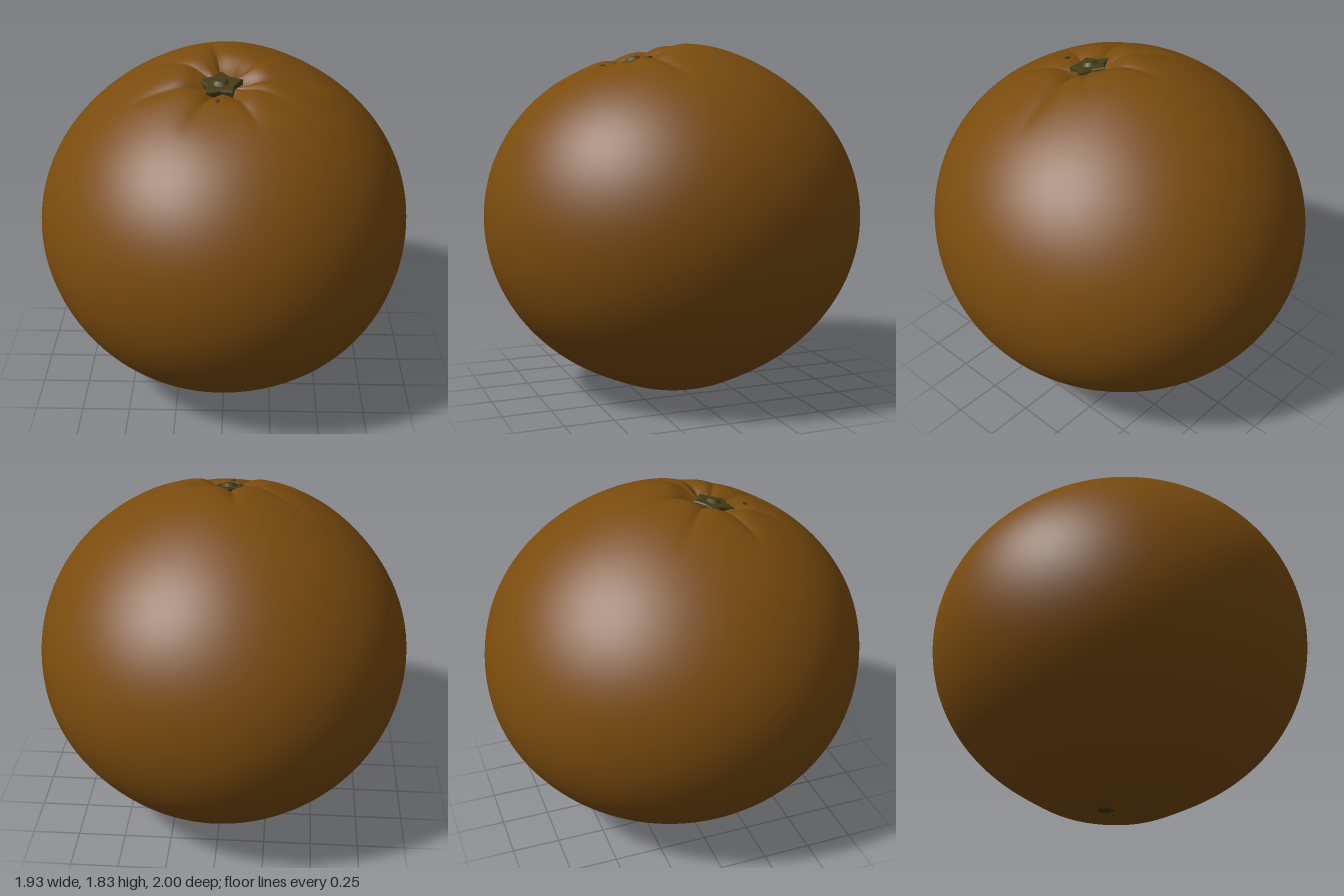
import * as THREE from 'three';
import { mergeVertices } from 'three/addons/utils/BufferGeometryUtils.js';

const peelMat = new THREE.MeshStandardMaterial({ color: 0x7a4b0e });
peelMat.name = 'orangePeel';
const calyxMat = new THREE.MeshStandardMaterial({ color: 0x453b17 });
calyxMat.name = 'driedGreen';

const TILT = 0.21; // the stem pole leans towards the front
const CENTER_Y = 0.905;
const RADII = new THREE.Vector3(0.965, 0.9, 1.0);

// creases radiating from the stem: [dx, dz, depth]
const creases = [
  [-0.49, -0.33, 0.022], [-0.08, -0.45, 0.045], [0.3, -0.25, 0.018], [0.6, -0.06, 0.045],
  [-0.5, 0.13, 0.042], [-0.2, 0.4, 0.03], [0.2, 0.4, 0.03], [0.42, 0.2, 0.022],
].map(([x, z, depth]) => ({ angle: Math.atan2(z, x), length: Math.hypot(x, z), depth }));

const bell = (d, w) => Math.exp(-((d / w) ** 2));

// radial factor for a direction at polar angle t and azimuth a around the stem
function creaseDepth(t, a) {
  let deepest = 0;
  for (const c of creases) {
    const along = Math.cos(a - c.angle);
    if (along < 0) continue;
    const across = Math.abs(Math.sin(t) * Math.sin(a - c.angle));
    const fade = 1 - THREE.MathUtils.smoothstep(t, c.length * 0.25, c.length * 1.1);
    deepest = Math.max(deepest, c.depth * fade * Math.exp(-across / 0.035));
  }
  return deepest;
}

function makePeel() {
  const geo = new THREE.SphereGeometry(1, 168, 128);
  geo.deleteAttribute('uv');
  geo.deleteAttribute('normal');
  const pos = geo.attributes.position;
  const v = new THREE.Vector3();
  const xAxis = new THREE.Vector3(1, 0, 0);
  for (let i = 0; i < pos.count; i++) {
    v.fromBufferAttribute(pos, i).normalize();
    const t = Math.acos(THREE.MathUtils.clamp(v.y, -1, 1));
    const a = Math.atan2(v.z, v.x);
    let r = 1 - creaseDepth(t, a) - 0.055 * Math.exp(-((t / 0.17) ** 4));
    v.applyAxisAngle(xAxis, TILT);
    if (v.y > 0) {
      // raised shoulders behind the stem, flatter skin before it
      r += 0.028 * bell(Math.hypot(v.x - 0.05, v.z + 0.12), 0.35);
      r -= 0.018 * bell(Math.hypot(v.x, v.z - 0.4), 0.18);
    } else {
      // flat base with a small navel
      const d = Math.hypot(v.x + 0.04, v.z + 0.06);
      r += 0.022 * bell(d - 0.25, 0.15) - 0.03 * bell(d, 0.07);
    }
    // slight natural unevenness
    r += 0.005 * Math.sin(3 * v.x + 2 * v.z + 1) * Math.sin(4 * v.y + 2 * v.x);
    v.multiplyScalar(r).multiply(RADII);
    pos.setXYZ(i, v.x, v.y + CENTER_Y, v.z);
  }
  const merged = mergeVertices(geo, 1e-5);
  merged.computeVertexNormals();
  return new THREE.Mesh(merged, peelMat);
}

// irregular star, extruded upwards
function makeStar(radii, inner, height) {
  const pts = [];
  radii.forEach((r, i) => {
    const a = ((i + 0.25) / radii.length) * Math.PI * 2;
    const b = a + Math.PI / radii.length;
    pts.push(new THREE.Vector2(Math.cos(a) * r, Math.sin(a) * r));
    pts.push(new THREE.Vector2(Math.cos(b) * inner, Math.sin(b) * inner));
  });
  const geo = new THREE.ExtrudeGeometry(new THREE.Shape(pts), {
    depth: height, bevelEnabled: true, bevelSize: 0.01, bevelThickness: 0.008, bevelSegments: 2,
  });
  geo.rotateX(-Math.PI / 2);
  return new THREE.Mesh(geo, calyxMat);
}

export function createModel() {
  const group = new THREE.Group();
  group.name = 'orange';

  const peel = makePeel();
  peel.name = 'peel';
  group.add(peel);

  // calyx and stem stub
  const calyx = new THREE.Group();
  calyx.name = 'calyx';
  const star = makeStar([0.1, 0.095, 0.105, 0.1, 0.09], 0.065, 0.02);
  star.name = 'calyxStar';
  const stub = new THREE.Mesh(new THREE.CylinderGeometry(0.025, 0.045, 0.02, 9), calyxMat);
  stub.name = 'stemStub';
  stub.position.y = 0.034;
  calyx.add(star, stub);
  calyx.position.set(-0.015, 1.712, 0.205);
  calyx.rotation.x = TILT;
  group.add(calyx);

  // tiny fleck in front of the stem
  const fleck = new THREE.Mesh(new THREE.CylinderGeometry(0.013, 0.013, 0.008, 6), calyxMat);
  fleck.name = 'fleck';
  fleck.position.set(-0.025, 1.708, 0.38);
  fleck.rotation.x = 0.3;
  group.add(fleck);

  // blossom scar in the navel underneath
  const scar = makeStar([0.042, 0.036, 0.045, 0.038, 0.04], 0.03, 0.01);
  scar.name = 'blossomScar';
  scar.position.set(-0.04, 0.022, -0.06);
  group.add(scar);

  return group;
}
